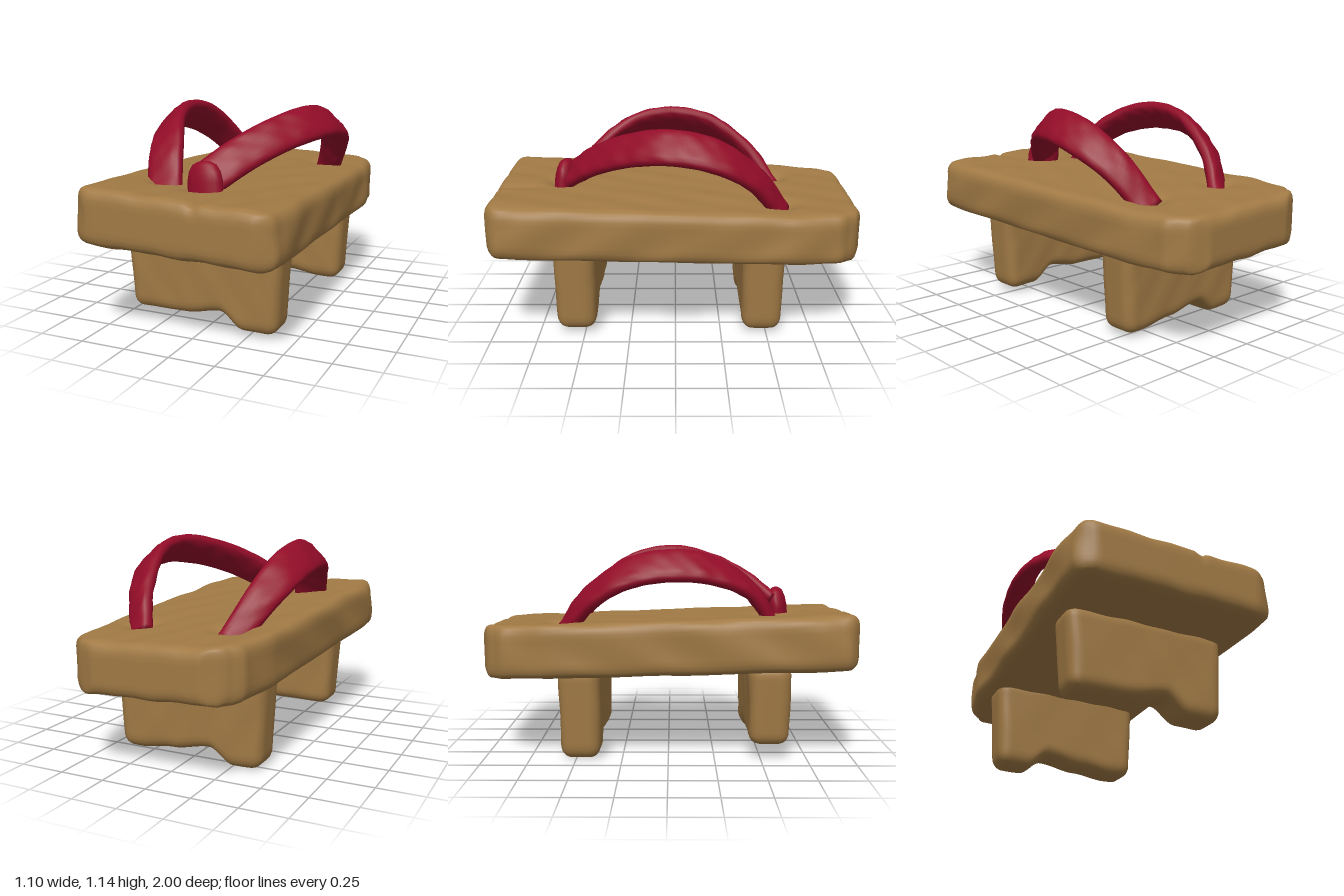
import * as THREE from 'three';
import { mergeVertices } from 'three/addons/utils/BufferGeometryUtils.js';

const wood = new THREE.MeshStandardMaterial({ color: 0xa17a45 });
wood.name = 'wood';
const red = new THREE.MeshStandardMaterial({ color: 0x920c28 });
red.name = 'red cloth';

// Smooth interpolation through [position, value] pairs
function profile(points, t) {
  if (t <= points[0][0]) return points[0][1];
  for (let i = 1; i < points.length; i++) {
    const [a, va] = points[i - 1], [b, vb] = points[i];
    if (t <= b) return va + (vb - va) * THREE.MathUtils.smoothstep(t, a, b);
  }
  return points[points.length - 1][1];
}

// Gentle hand-carved unevenness
const carve = (x, y, z) =>
  Math.sin(x * 17 + Math.sin(z * 5) * 2) * Math.sin(z * 8 + y * 13) * 0.6 +
  Math.sin(x * 31 + z * 11 + y * 23) * 0.4;

const dent = (x, z, cx, cz, rx, rz) => Math.exp(-(((x - cx) / rx) ** 2) - ((z - cz) / rz) ** 2);

// Rounded block on a grid, each vertex then moved by a rule
function softBlock(name, size, segments, radius, deform) {
  const geo = new THREE.BoxGeometry(...size, ...segments);
  geo.deleteAttribute('uv');
  geo.deleteAttribute('normal');
  const merged = mergeVertices(geo);
  const inner = new THREE.Vector3(...size).multiplyScalar(0.5).subScalar(radius);
  const pos = merged.attributes.position;
  const p = new THREE.Vector3(), core = new THREE.Vector3();
  for (let i = 0; i < pos.count; i++) {
    p.fromBufferAttribute(pos, i);
    core.copy(p).clamp(inner.clone().negate(), inner);
    p.sub(core).setLength(radius).add(core);
    deform(p);
    pos.setXYZ(i, p.x, p.y, p.z);
  }
  merged.computeVertexNormals();
  const mesh = new THREE.Mesh(merged, wood);
  mesh.name = name;
  return mesh;
}

// Board: tilted, thicker at the front, narrowing at the heel
function makeSole() {
  const halfWidth = [[-1, 0.33], [-0.95, 0.41], [-0.86, 0.475], [-0.6, 0.515], [0.3, 0.53], [0.8, 0.545], [0.93, 0.535], [1, 0.49]];
  const holes = [[-0.26, -0.58], [0.27, -0.58], [0.0, 0.64], [-0.23, 0.57]];
  const h = 0.3;
  return softBlock('sole', [1, h, 2], [44, 10, 84], 0.06, p => {
    const top = p.y / h + 0.5;
    p.x *= profile(halfWidth, p.z) / 0.5;
    const { x, z } = p;
    const yTop = 0.747 + 0.035 * z - 0.04 * x;
    const yBottom = 0.462 + 0.028 * z - 0.03 * x;
    p.y = yBottom + (yTop - yBottom) * top;
    const n = carve(x, p.y, z);
    p.x += 0.008 * n * Math.sign(x) * Math.min(1, Math.abs(x) * 2);
    p.y += 0.005 * n;
    if (Math.abs(z) < 0.95) p.z += 0.004 * n;
    if (top > 0.6) {
      for (const [hx, hz] of holes) p.y -= 0.05 * dent(x, z, hx, hz, 0.075, 0.07);
      p.y -= 0.022 * dent(x, z, 0.13, 1, 0.025, 0.2); // split in the grain
    }
  });
}

// Tooth under the board with a worn lower edge
function makeTooth(name, z0, edge) {
  const h = 0.5, topY = 0.52;
  return softBlock(name, [0.89, h, 0.23], [48, 18, 12], 0.065, p => {
    const t = p.y / h + 0.5;
    p.x *= 0.93 + 0.07 * t;
    const low = profile(edge, p.x);
    p.y = low + (topY - low) * t;
    p.z = p.z * (0.93 + 0.07 * t) + z0 + 0.003 * carve(p.x, p.y, z0);
  });
}

// Flat padded band lofted along centre points, with a width direction at each
function makeStrap(name, stations) {
  const centre = new THREE.CatmullRomCurve3(stations.map(s => new THREE.Vector3(...s[0])));
  const across = new THREE.CatmullRomCurve3(stations.map(s => new THREE.Vector3(...s[1])));
  const rings = 64, sides = 20, verts = [], index = [];
  for (let i = 0; i <= rings; i++) {
    const t = i / rings;
    const c = centre.getPoint(t), tan = centre.getTangent(t);
    const w = across.getPoint(t);
    w.addScaledVector(tan, -w.dot(tan)).normalize();
    const n = tan.clone().cross(w).normalize();
    const half = profile([[0, 0.075], [0.35, 0.105], [1, 0.1]], t);
    for (let j = 0; j < sides; j++) {
      const a = (j / sides) * Math.PI * 2, co = Math.cos(a), si = Math.sin(a);
      const crease = 0.005 * Math.sin(i * 0.9 + Math.sin(j * 1.3) * 2.2) * Math.sin(j * 0.628 * 2 + i * 0.23);
      const u = Math.sign(co) * Math.abs(co) ** 0.75 * half;
      const v = Math.sign(si) * Math.abs(si) ** 0.75 * 0.04 + crease * si;
      const q = c.clone().addScaledVector(w, u).addScaledVector(n, v);
      verts.push(q.x, q.y, q.z);
      if (i < rings) {
        const k = (j + 1) % sides, b = i * sides, d = b + sides;
        index.push(b + j, b + k, d + k, b + j, d + k, d + j);
      }
    }
  }
  // End caps
  for (let j = 1; j < sides - 1; j++) {
    const e = rings * sides;
    index.push(0, j + 1, j, e, e + j, e + j + 1);
  }
  const geo = new THREE.BufferGeometry();
  geo.setAttribute('position', new THREE.Float32BufferAttribute(verts, 3));
  geo.setIndex(index);
  geo.computeVertexNormals();
  const mesh = new THREE.Mesh(geo, red);
  mesh.name = name;
  return mesh;
}

export function createModel() {
  const group = new THREE.Group();
  group.name = 'woodenSandal';

  group.add(makeSole());
  group.add(makeTooth('frontTooth', 0.545,
    [[-0.45, 0.08], [-0.1, 0.083], [0.1, 0.115], [0.23, 0.03], [0.45, 0.025]]));
  group.add(makeTooth('backTooth', -0.475,
    [[-0.45, 0.005], [-0.25, 0], [-0.12, 0.08], [0.1, 0.045], [0.3, 0.02], [0.45, 0.02]]));

  group.add(makeStrap('rightStrap', [
    [[-0.25, 0.66, -0.58], [0.8, 0, -0.35]],
    [[-0.35, 0.87, -0.42], [0.8, 0.2, -0.35]],
    [[-0.41, 1.01, -0.2], [0.7, 0.65, 0]],
    [[-0.42, 1.05, 0.03], [0.68, 0.7, 0]],
    [[-0.38, 1.02, 0.24], [0.75, 0.6, 0]],
    [[-0.3, 0.91, 0.44], [0.95, 0.25, 0]],
    [[-0.24, 0.7, 0.58], [1, 0.05, 0]],
  ]));
  group.add(makeStrap('leftStrap', [
    [[0.27, 0.66, -0.58], [0.8, 0, 0.35]],
    [[0.36, 0.87, -0.42], [0.8, -0.2, 0.35]],
    [[0.42, 1.01, -0.2], [0.7, -0.65, 0]],
    [[0.4, 1.05, 0.03], [0.68, -0.7, 0]],
    [[0.29, 1.01, 0.25], [0.65, -0.65, 0.1]],
    [[0.15, 0.92, 0.45], [0.65, -0.6, 0.15]],
    [[0.01, 0.8, 0.61], [0.7, -0.5, 0.2]],
  ]));

  // Toe loop wrapping the end of the left strap
  const toe = new THREE.Mesh(new THREE.LatheGeometry(
    [[0.1, 0], [0.103, 0.12], [0.092, 0.17], [0.07, 0.205], [0.035, 0.222], [0, 0.225]]
      .map(([r, y]) => new THREE.Vector2(r, y)), 20), red);
  toe.name = 'toeLoop';
  toe.scale.z = 0.55;
  toe.position.set(0.03, 0.68, 0.635);
  toe.rotation.set(-0.1, -0.15, 0.08);
  group.add(toe);

  return group;
}
